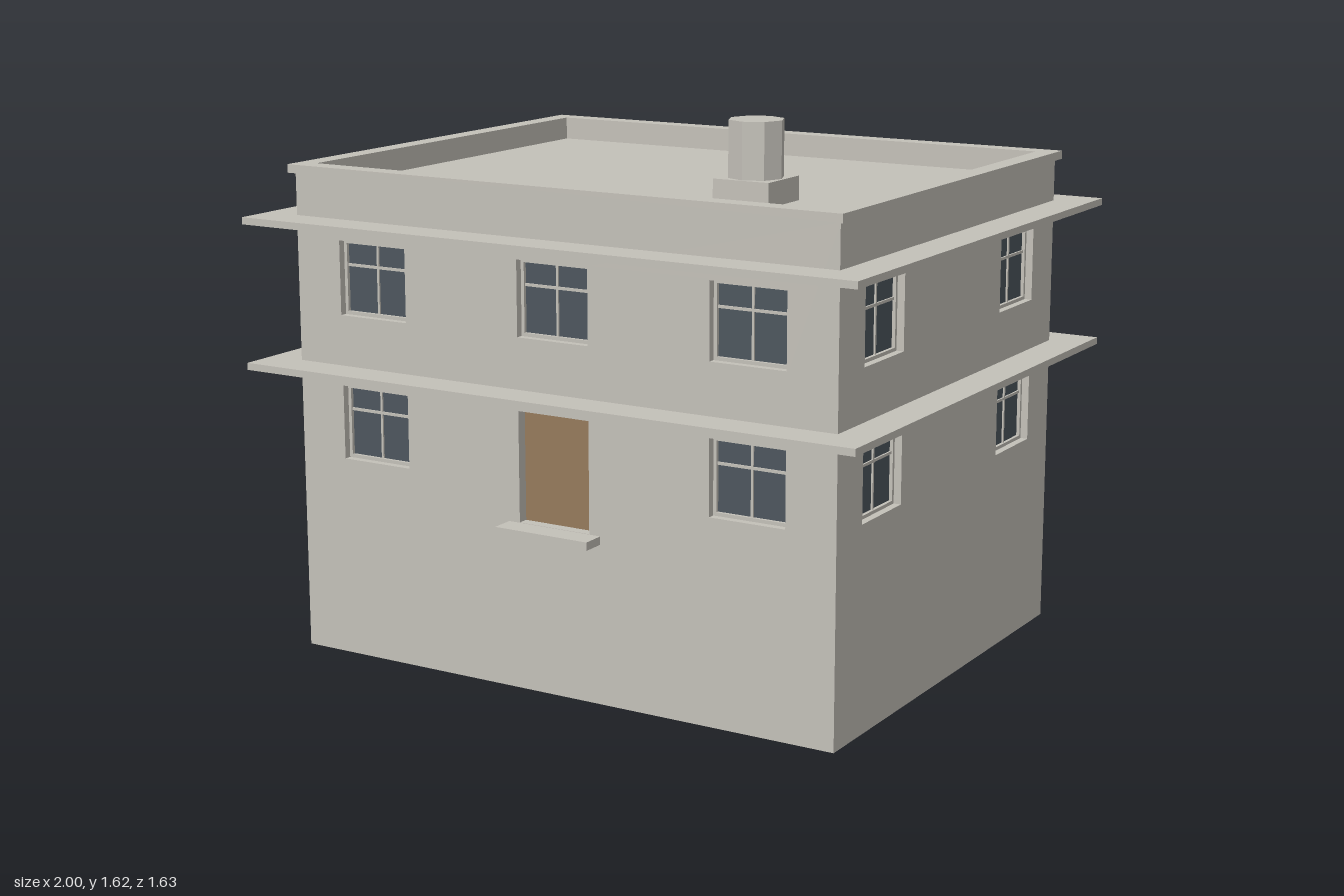
import * as THREE from 'three';

const HALF_X = 0.89, HALF_Z = 0.70, WALL_TOP = 1.435;
const RECESS = 0.035;

const plaster = new THREE.MeshStandardMaterial({ color: 0xc4c1b9, flatShading: true, side: THREE.DoubleSide });
plaster.name = 'plaster';
const glass = new THREE.MeshStandardMaterial({ color: 0x4d565e, flatShading: true });
glass.name = 'glass';
const wood = new THREE.MeshStandardMaterial({ color: 0x967a5c, flatShading: true });
wood.name = 'wood';

function add(parent, name, geometry, material, x = 0, y = 0, z = 0) {
  const mesh = new THREE.Mesh(geometry, material);
  mesh.name = name;
  mesh.position.set(x, y, z);
  parent.add(mesh);
  return mesh;
}

const box = (w, h, d) => new THREE.BoxGeometry(w, h, d);

function rectPath(path, cx, cy, w, h) {
  path.moveTo(cx - w / 2, cy - h / 2);
  path.lineTo(cx + w / 2, cy - h / 2);
  path.lineTo(cx + w / 2, cy + h / 2);
  path.lineTo(cx - w / 2, cy + h / 2);
  path.closePath();
  return path;
}

// Rectangular ring in the xy plane, extruded from z = 0 to z = depth
function ring(w, h, innerW, innerH, depth) {
  const shape = rectPath(new THREE.Shape(), 0, 0, w, h);
  shape.holes.push(rectPath(new THREE.Path(), 0, 0, innerW, innerH));
  return new THREE.ExtrudeGeometry(shape, { depth, bevelEnabled: false });
}

// Ring lying flat, from y = 0 to y = height
const flatRing = (w, d, iw, id, height) => ring(w, d, iw, id, height).rotateX(-Math.PI / 2);

// Lining of an opening, set back into the building
function addLining(parent, w, h) {
  add(parent, 'reveal', ring(w, h, w - 0.006, h - 0.006, RECESS), plaster, 0, 0, -RECESS);
}

function makeWindow(w, h) {
  const g = new THREE.Group();
  g.name = 'window';
  addLining(g, w, h);
  add(g, 'windowPane', box(w, h, 0.006), glass, 0, 0, -RECESS);
  add(g, 'windowFrame', ring(w, h, w - 0.026, h - 0.026, 0.01), plaster, 0, 0, -RECESS + 0.003);
  add(g, 'mullion', box(0.007, h - 0.02, 0.006), plaster, 0, 0, -RECESS + 0.005);
  add(g, 'transom', box(w - 0.02, 0.008, 0.006), plaster, 0, 0.036, -RECESS + 0.005);
  return g;
}

function makeDoor(w, h) {
  const g = new THREE.Group();
  g.name = 'door';
  addLining(g, w, h);
  add(g, 'doorPanel', box(w, h, 0.006), wood, 0, 0, -RECESS);
  return g;
}

// One outer wall sheet with its openings, facing +z
function makeFacade(name, halfWidth, columns, hasDoor) {
  const g = new THREE.Group();
  g.name = name;
  const shape = rectPath(new THREE.Shape(), 0, WALL_TOP / 2, halfWidth * 2, WALL_TOP);
  for (const rowY of [0.708, 1.138]) {
    for (const x of columns) {
      const isDoor = hasDoor && x === 0 && rowY < 1;
      const w = 0.24;
      const h = isDoor ? 0.33 : 0.226;
      const y = isDoor ? 0.655 : rowY;
      shape.holes.push(rectPath(new THREE.Path(), x, y, w, h));
      const unit = isDoor ? makeDoor(w, h) : makeWindow(w, h);
      unit.position.set(x, y, 0);
      g.add(unit);
    }
  }
  add(g, 'wall', new THREE.ShapeGeometry(shape), plaster);
  return g;
}

export function createModel() {
  const house = new THREE.Group();
  house.name = 'house';

  // Four walls with windows, door in the front
  const wide = [-0.62, 0, 0.62], narrow = [-0.435, 0.435];
  const facades = [
    ['frontFacade', HALF_X, HALF_Z, wide, true],
    ['leftFacade', HALF_Z, HALF_X, narrow, false],
    ['backFacade', HALF_X, HALF_Z, wide, false],
    ['rightFacade', HALF_Z, HALF_X, narrow, false],
  ];
  facades.forEach(([name, halfWidth, distance, columns, hasDoor], i) => {
    const facade = makeFacade(name, halfWidth, columns, hasDoor);
    const angle = i * Math.PI / 2;
    facade.rotation.y = angle;
    facade.position.set(Math.sin(angle) * distance, 0, Math.cos(angle) * distance);
    house.add(facade);
  });

  // Door step
  add(house, 'doorStep', box(0.306, 0.024, 0.07), plaster, 0, 0.48, HALF_Z + 0.035);

  // Projecting ledges above each storey
  for (const y of [0.857, 1.289]) {
    add(house, 'ledge', flatRing(2, 1.63, HALF_X * 2, HALF_Z * 2, 0.021), plaster, 0, y, 0);
  }

  // Flat roof, parapet and coping
  add(house, 'roof', box(HALF_X * 2 - 0.01, 0.01, HALF_Z * 2 - 0.01), plaster, 0, 1.385, 0);
  add(house, 'parapet', flatRing(1.77, 1.39, 1.69, 1.315, 0.045), plaster, 0, 1.39, 0);
  add(house, 'coping', flatRing(1.81, 1.435, 1.69, 1.315, 0.025), plaster, 0, WALL_TOP, 0);

  // Chimney
  add(house, 'chimneyBase', box(0.178, 0.07, 0.176), plaster, 0.39, 1.425, 0.25);
  add(house, 'chimneyFlue', new THREE.CylinderGeometry(0.081, 0.081, 0.163, 8), plaster, 0.39, 1.5415, 0.25);

  return house;
}
